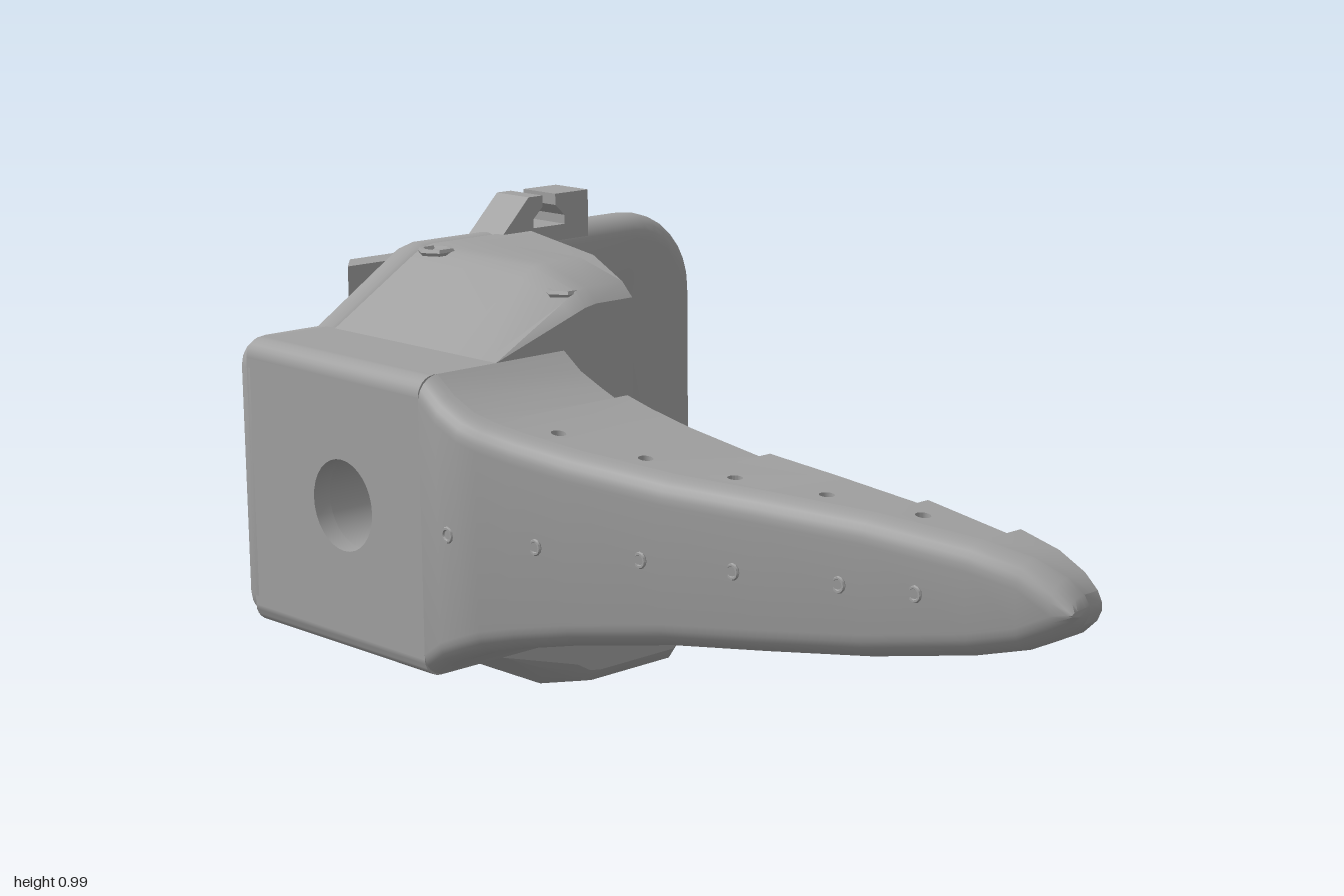
import * as THREE from 'three';
import { mergeGeometries, toCreasedNormals } from 'three/addons/utils/BufferGeometryUtils.js';

const CY = 0.455; // mid height of the symmetrical housing
const lerp = THREE.MathUtils.lerp;

function shapeOf(pts, holes = []) {
  const s = new THREE.Shape(pts.map(p => new THREE.Vector2(p[0], p[1])));
  for (const h of holes) s.holes.push(new THREE.Path(h.map(p => new THREE.Vector2(p[0], p[1]))));
  return s;
}

function arc(cx, cy, r, a0, a1, n) {
  const out = [];
  for (let i = 0; i <= n; i++) {
    const a = THREE.MathUtils.degToRad(lerp(a0, a1, i / n));
    out.push([cx + r * Math.cos(a), cy + r * Math.sin(a)]);
  }
  return out;
}
const circle = (x, y, r, n = 32) => arc(x, y, r, 0, 360 - 360 / n, n - 1);
// Round hole with a point towards +x
const teardrop = (x, y, r) => [...arc(x, y, r, 45, 315, 18), [x + r * 1.41, y]];

const extrude = (shape, depth) => new THREE.ExtrudeGeometry(shape, { depth, bevelEnabled: false });
const alongZ = (pts, z0, z1, holes) => extrude(shapeOf(pts, holes), z1 - z0).translate(0, 0, z0);
// Outline in (x, z), thickness in y
const alongY = (pts, y0, y1, holes) => extrude(shapeOf(pts, holes), y1 - y0).rotateX(Math.PI / 2).translate(0, y1, 0);
// Outline in (-z, y), thickness in x
const alongX = (pts, x0, x1, holes) => extrude(shapeOf(pts, holes), x1 - x0).rotateY(Math.PI / 2).translate(x0, 0, 0);

// Skin over rings of [x, y, z], ordered by rising z, anticlockwise from the front
function loft(rings) {
  const pos = [];
  const tri = (...v) => v.forEach(p => pos.push(...p));
  const n = rings[0].length, last = rings[rings.length - 1];
  for (let i = 0; i + 1 < rings.length; i++) {
    for (let j = 0; j < n; j++) {
      const k = (j + 1) % n, a = rings[i][j], b = rings[i][k], c = rings[i + 1][k], d = rings[i + 1][j];
      tri(a, b, c);
      tri(a, c, d);
    }
  }
  for (let j = 1; j + 1 < n; j++) {
    tri(last[0], last[j], last[j + 1]);
    tri(rings[0][0], rings[0][j + 1], rings[0][j]);
  }
  const g = new THREE.BufferGeometry();
  g.setAttribute('position', new THREE.Float32BufferAttribute(pos, 3));
  g.computeVertexNormals();
  return g;
}
const flipY = rings => rings.map(r => r.map(([x, y, z]) => [x, 2 * CY - y, z]).reverse());

export function createModel() {
  const model = new THREE.Group();
  const grey = new THREE.MeshStandardMaterial({ color: 0xa0a0a0 });
  grey.name = 'matte grey';
  const add = (name, ...geos) => {
    for (const g of geos) {
      const m = new THREE.Mesh(toCreasedNormals(g, 0.6), grey);
      m.name = name;
      model.add(m);
    }
  };

  // Back plate with rounded rim and a dished round opening
  const outline = [
    ...arc(0.43, 0.72, 0.19, 0, 90, 8), [-0.16, 0.91], [-0.2, 0.9], [-0.42, 0.76],
    ...arc(-0.56, 0.7, 0.06, 90, 180, 4), ...arc(-0.56, 0.21, 0.06, 180, 270, 4),
    [-0.42, 0.15], [-0.2, 0.01], [-0.16, 0], ...arc(0.43, 0.19, 0.19, 270, 360, 8)];
  const hx = 0.05, hy = 0.46;
  add('backPlate', new THREE.ExtrudeGeometry(shapeOf(outline, [circle(hx, hy, 0.205, 48)]), {
    depth: 0.012, bevelThickness: 0.049, bevelSize: 0.049, bevelOffset: -0.049, bevelSegments: 5,
  }).translate(0, 0, -0.841));

  // Hub behind the plate, with countersunk teardrop holes and a raised rim
  const hubOutline = [...arc(hx, hy, 0.23, -125, 125, 40), [-0.17, hy + 0.09], [-0.17, hy - 0.09]];
  const spots = [[-0.093, 0.093], [0.093, 0.093], [-0.093, -0.093], [0.093, -0.093]];
  const holes = r => [teardrop(hx, hy, 0.05), ...spots.map(([x, y]) => teardrop(hx + x, hy + y, r))];
  add('hub', alongZ(hubOutline, -0.93, -0.89, holes(0.056)), alongZ(hubOutline, -0.98, -0.93, holes(0.033)));
  add('hubFlange', alongZ(circle(hx, hy, 0.265, 48), -0.892, -0.87, [circle(hx, hy, 0.2, 48)]));
  add('hubRim', alongZ([...arc(hx, hy, 0.23, -110, 110, 36), ...arc(hx, hy, 0.2, 110, -110, 36)], -1, -0.98));
  add('hubRamp', alongY([[-0.17, -0.98], [-0.32, -0.885], [-0.17, -0.885]], hy - 0.09, hy + 0.09));
  add('rearStop', alongY([[-0.1, -0.88], [-0.1, -0.95], [-0.26, -0.95], [-0.32, -0.88]], 0.765, 0.87));

  // Slotted clip on the top edge
  add('topClip', alongZ([[0.0, 0.88], [0.03, 0.91], [0.105, 0.985], [0.145, 0.985], [0.145, 0.96], [0.118, 0.935],
    [0.118, 0.915], [0.21, 0.915], [0.21, 0.935], [0.183, 0.96], [0.183, 0.985], [0.28, 0.985], [0.28, 0.88]], -0.885, -0.778));

  // Side block with a cross bore and rounded outer edges
  const wall = (y0, y1) => [[0.28, y0], [0.84, y0], [0.84, y1], [0.28, y1]];
  const bore = [circle(0.53, 0.46, 0.095)];
  add('sideBlock', alongX(wall(0.15, 0.76), -0.58, -0.05, bore), alongX(wall(0.19, 0.72), -0.62, -0.58, bore));
  for (const y of [0.19, 0.72]) {
    add('sideBlockEdge', new THREE.CylinderGeometry(0.04, 0.04, 0.56, 24).rotateX(Math.PI / 2).translate(-0.58, y, -0.56));
  }

  // Sloped shoulders above and below the side block
  const levels = [[-0.8, 0.91], [-0.44, 0.91], [-0.31, 0.875], [-0.28, 0.845]];
  const shoulder = levels.map(([z, t]) => [[-0.42, 0.76], [-0.05, 0.76], [-0.05, t], [-0.15, t], [-0.18, t - 0.005],
    [-0.215, t - 0.025]].map(([x, y]) => [x, y, z]));
  add('upperShoulder', loft(shoulder));
  add('lowerShoulder', loft(flipY(shoulder)));

  // Roof and floor with slanted free edges and a shallow cross groove
  const roofX = z => -0.05 + (-0.28 - z) * 0.36;
  const floorX = z => 0.08 + (-0.28 - z) * 0.5;
  const slab = (edge, bottom, list) => list.map(([z, t]) => {
    const x = edge(z) + 0.001;
    return [[-0.05, bottom, z], [x, bottom, z], [x, t - 0.02, z], [Math.max(-0.05, x - 0.02), t, z], [-0.05, t, z]];
  });
  const trapezoid = (edge, z0, z1) => [[-0.06, z0], [edge(z0), z0], [edge(z1), z1], [-0.06, z1]];
  add('roof', loft(slab(roofX, 0.795, levels)));
  for (const [z0, z1] of [[-0.79, -0.71], [-0.345, -0.28]]) add('roofLedge', alongY(trapezoid(roofX, z0, z1), 0.76, 0.795));
  add('floorFront', loft(flipY(slab(floorX, 0.78, levels.slice(1)))));
  const sockets = (r, n) => [-0.0, 0.1].map((x, i) => circle(i ? x : -0.04 + 0.01, -0.54, r, n));
  add('floor', alongY(trapezoid(floorX, -0.8, -0.44), 0, 0.06, sockets(0.03, 24)),
    alongY([[-0.1, -0.8], [floorX(-0.8), -0.8], [floorX(-0.44), -0.44], [-0.1, -0.44]], 0.06, 0.13, sockets(0.06, 6)));
  for (const [z0, z1] of [[-0.79, -0.67], [-0.39, -0.28]]) add('floorLedge', alongY(trapezoid(floorX, z0, z1), 0.13, 0.15));

  // Rims of the screw holes in the shoulders
  for (const [x, y, z] of [[-0.19, 0.905, -0.74], [-0.18, 0.865, -0.345], [-0.11, 0.005, -0.74], [-0.11, 0.042, -0.345]]) {
    add('screwRim', new THREE.TorusGeometry(0.034, 0.008, 6, 6).rotateX(Math.PI / 2).translate(x, y, z));
  }

  // Tapering finger: stations of [z, half height, inner edge up to the next station]
  const st = [[-0.28, 0.305, -0.24], [-0.23, 0.27, -0.24], [-0.17, 0.245, -0.24], [-0.13, 0.23, -0.205], [-0.06, 0.213, -0.205],
    [0.05, 0.192, -0.205], [0.24, 0.166, -0.175], [0.42, 0.153, -0.175], [0.62, 0.136, -0.145], [0.81, 0.108, -0.105],
    [0.9, 0.086, -0.105], [0.96, 0.056, -0.105], [0.99, 0.028, -0.105], [1, 0.008, -0.105]];
  const left = z => -0.62 + Math.max(0, z + 0.17) * 0.368;
  const round = 0.05;
  const drill = [[-0.47, -0.04], [-0.41, 0.14], [-0.345, 0.315], [-0.28, 0.49], [-0.215, 0.67]];
  const slices = [];
  for (let i = 0; i + 1 < st.length; i++) {
    const [z0, h0, r] = st[i], [z1, h1] = st[i + 1];
    const cut = drill.filter(d => d[1] > z0 && d[1] < z1).map(d => circle(d[0], d[1], 0.015, 16));
    const g = alongY([[left(z0) + round, z0], [r, z0], [r, z1], [left(z1) + round, z1]], -1, 1, cut);
    const p = g.attributes.position;
    for (let k = 0; k < p.count; k++) p.setY(k, CY + p.getY(k) * lerp(h0, h1, (p.getZ(k) - z0) / (z1 - z0)));
    g.computeVertexNormals();
    slices.push(g);
  }
  add('finger', mergeGeometries(slices));
  // Rounded outer edge of the finger
  add('fingerOuterEdge', loft(st.map(([z, h]) => {
    const x = left(z) + round, r = Math.min(round, h * 0.99);
    const top = arc(0, 0, 1, 90, 180, 6).map(([a, b]) => [x + a * round, CY + h - r + b * r, z]);
    const low = arc(0, 0, 1, 180, 270, 6).map(([a, b]) => [x + a * round, CY - h + r + b * r, z]);
    return [...top, ...low];
  })));
  // Rims of the cross holes along the finger
  for (const z of [-0.2, -0.01, 0.2, 0.38, 0.58, 0.72]) {
    const inner = st.filter(s => s[0] <= z).pop()[2];
    for (const x of [left(z), inner]) {
      add('crossHoleRim', new THREE.TorusGeometry(0.013, 0.004, 6, 12).rotateY(Math.PI / 2).translate(x, 0.46, z));
    }
  }
  return model;
}
